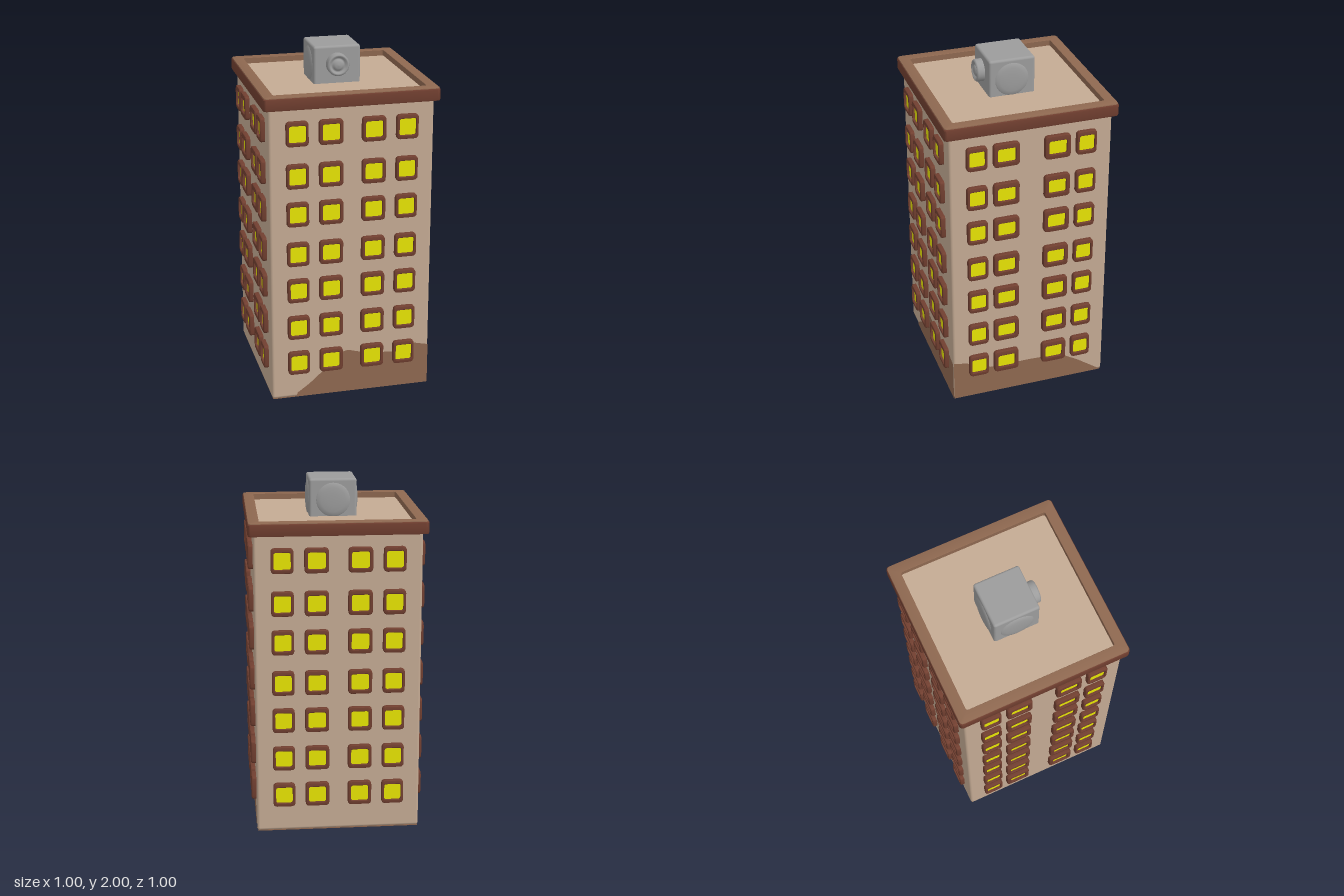
import * as THREE from 'three';
import { toCreasedNormals } from 'three/addons/utils/BufferGeometryUtils.js';
import { RoundedBoxGeometry } from 'three/addons/geometries/RoundedBoxGeometry.js';

const mat = (name, color) => {
  const m = new THREE.MeshStandardMaterial({ color });
  m.name = name;
  return m;
};

// Counter-clockwise rounded rectangle, always with the same number of points
function outline(w, h, r, z) {
  const pts = [], steps = 4;
  for (let c = 0; c < 4; c++) {
    const sx = c === 0 || c === 3 ? 1 : -1, sy = c < 2 ? 1 : -1;
    for (let i = 0; i <= steps; i++) {
      const a = (c + i / steps) * Math.PI / 2;
      pts.push([sx * (w / 2 - r) + r * Math.cos(a), sy * (h / 2 - r) + r * Math.sin(a), z]);
    }
  }
  return pts;
}

// Rectangular ring with softened front edges, lofted through a closed chain of outlines
function ringGeometry(w, h, innerW, innerH, depth, r, bevel) {
  const b = bevel, c = 0.3 * bevel, ri = 0.012;
  const loops = [
    outline(innerW, innerH, ri, 0),
    outline(w - 2 * c, h - 2 * c, r, 0),
    outline(w, h, r, b),
    outline(w, h, r, depth - b),
    outline(w - 2 * c, h - 2 * c, r, depth - c),
    outline(w - 2 * b, h - 2 * b, r, depth),
    outline(innerW + 2 * c, innerH + 2 * c, ri, depth),
    outline(innerW, innerH, ri, depth - c),
  ];
  const n = loops[0].length, index = [];
  for (let k = 0; k < loops.length; k++) {
    const a = k * n, d = ((k + 1) % loops.length) * n;
    for (let i = 0; i < n; i++) {
      const j = (i + 1) % n;
      index.push(a + i, a + j, d + j, a + i, d + j, d + i);
    }
  }
  const g = new THREE.BufferGeometry();
  g.setAttribute('position', new THREE.Float32BufferAttribute(loops.flat(2), 3));
  g.setIndex(index);
  return toCreasedNormals(g, 0.5);
}

export function createModel() {
  const root = new THREE.Group();
  root.name = 'apartmentBlock';
  const wall = mat('tanWall', 0xc4aa93);
  const trim = mat('redBrownTrim', 0x713f30);
  const brown = mat('brownStain', 0x8e6850);
  const glass = mat('yellowGlass', 0xfffc04);
  const grey = mat('greyMetal', 0x9c9c9c);

  const add = (parent, name, geometry, material, x = 0, y = 0, z = 0) => {
    const m = new THREE.Mesh(geometry, material);
    m.name = name;
    m.position.set(x, y, z);
    parent.add(m);
    return m;
  };

  // Main block, base and roof deck
  add(root, 'walls', new RoundedBoxGeometry(0.94, 1.756, 0.94, 3, 0.015), wall, 0, 0.882, 0);
  add(root, 'base', new THREE.BoxGeometry(0.93, 0.006, 0.93), brown, 0, 0.003, 0);
  add(root, 'roofDeck', new THREE.BoxGeometry(0.92, 0.035, 0.92), wall, 0, 1.768, 0);

  // Cornice with a paler coping on top
  const cornice = add(root, 'cornice', ringGeometry(1, 1, 0.9, 0.9, 0.07, 0.02, 0.008), trim, 0, 1.746, 0);
  const coping = add(root, 'coping', ringGeometry(0.992, 0.992, 0.87, 0.87, 0.045, 0.02, 0.004), brown, 0, 1.775, 0);
  cornice.rotation.x = coping.rotation.x = -Math.PI / 2;

  // Windows: two alternating facade layouts as [centre, frame width, glass width, glass height]
  const rows = [0.228, 0.451, 0.68, 0.902, 1.14, 1.363, 1.607];
  const layouts = [
    [[0.313, 0.126, 0.096, 0.096], [0.122, 0.136, 0.1, 0.094]],
    [[0.317, 0.118, 0.09, 0.092], [0.148, 0.15, 0.104, 0.082]],
  ];
  const facades = [];
  for (let i = 0; i < 4; i++) {
    const facade = new THREE.Group();
    facade.name = ['frontFacade', 'leftFacade', 'backFacade', 'rightFacade'][i];
    facade.rotation.y = i * Math.PI / 2;
    root.add(facade);
    facades.push(facade);
    for (const [cx, w, glassW, glassH] of layouts[i % 2]) {
      const frame = ringGeometry(w, 0.141, glassW, glassH, 0.036, 0.02, 0.008);
      const pane = new THREE.BoxGeometry(glassW + 0.008, glassH + 0.008, 0.009);
      for (const s of [-1, 1]) for (const y of rows) {
        add(facade, 'windowFrame', frame, trim, s * cx, y, 0.462);
        add(facade, 'windowPane', pane, glass, s * cx, y, 0.48);
      }
    }
  }

  // Brown weathering near the ground on two adjoining walls
  const stain = (facade, pts) => {
    const shape = new THREE.Shape(pts.map(([x, y]) => new THREE.Vector2(x, y)));
    add(facade, 'groundStain', new THREE.ShapeGeometry(shape), brown, 0, 0, 0.4715);
  };
  stain(facades[0], [[-0.33, 0.004], [0.468, 0.004], [0.468, 0.25], [0.38, 0.27], [0.33, 0.22],
    [0.09, 0.24], [-0.02, 0.27], [-0.14, 0.24], [-0.16, 0.16], [-0.25, 0.08], [-0.32, 0.03]]);
  stain(facades[1], [[-0.468, 0.004], [0.46, 0.004], [0.31, 0.11], [0.2, 0.175], [0.02, 0.185],
    [-0.24, 0.185], [-0.39, 0.245], [-0.468, 0.26]]);

  // Rooftop ventilation unit
  const unit = new THREE.Group();
  unit.name = 'rooftopUnit';
  root.add(unit);
  add(unit, 'unitHousing', new RoundedBoxGeometry(0.272, 0.23, 0.268, 3, 0.014), grey, 0, 1.885, -0.002);

  // Front vent: raised rim around a domed hub
  const lathe = (pts) => new THREE.LatheGeometry(pts.map(([r, y]) => new THREE.Vector2(r, y)), 28);
  const vent = lathe([[0.064, 0], [0.064, 0.04], [0.058, 0.048], [0.05, 0.048], [0.042, 0.038],
    [0.034, 0.036], [0.03, 0.044], [0.018, 0.05], [0, 0.052]]);
  add(unit, 'frontVent', vent, grey, -0.002, 1.897, 0.128).rotation.x = Math.PI / 2;

  // Shallow bulges on the other three faces
  const bulge = lathe([[0.1, 0], [0.092, 0.008], [0.07, 0.013], [0.035, 0.016], [0, 0.016]]);
  for (const i of [1, 2, 3]) {
    const pivot = new THREE.Group();
    pivot.name = 'sideBulge';
    pivot.rotation.y = i * Math.PI / 2;
    unit.add(pivot);
    add(pivot, 'bulge', bulge, grey, 0, 1.88, 0.133).rotation.x = Math.PI / 2;
  }
  return root;
}
